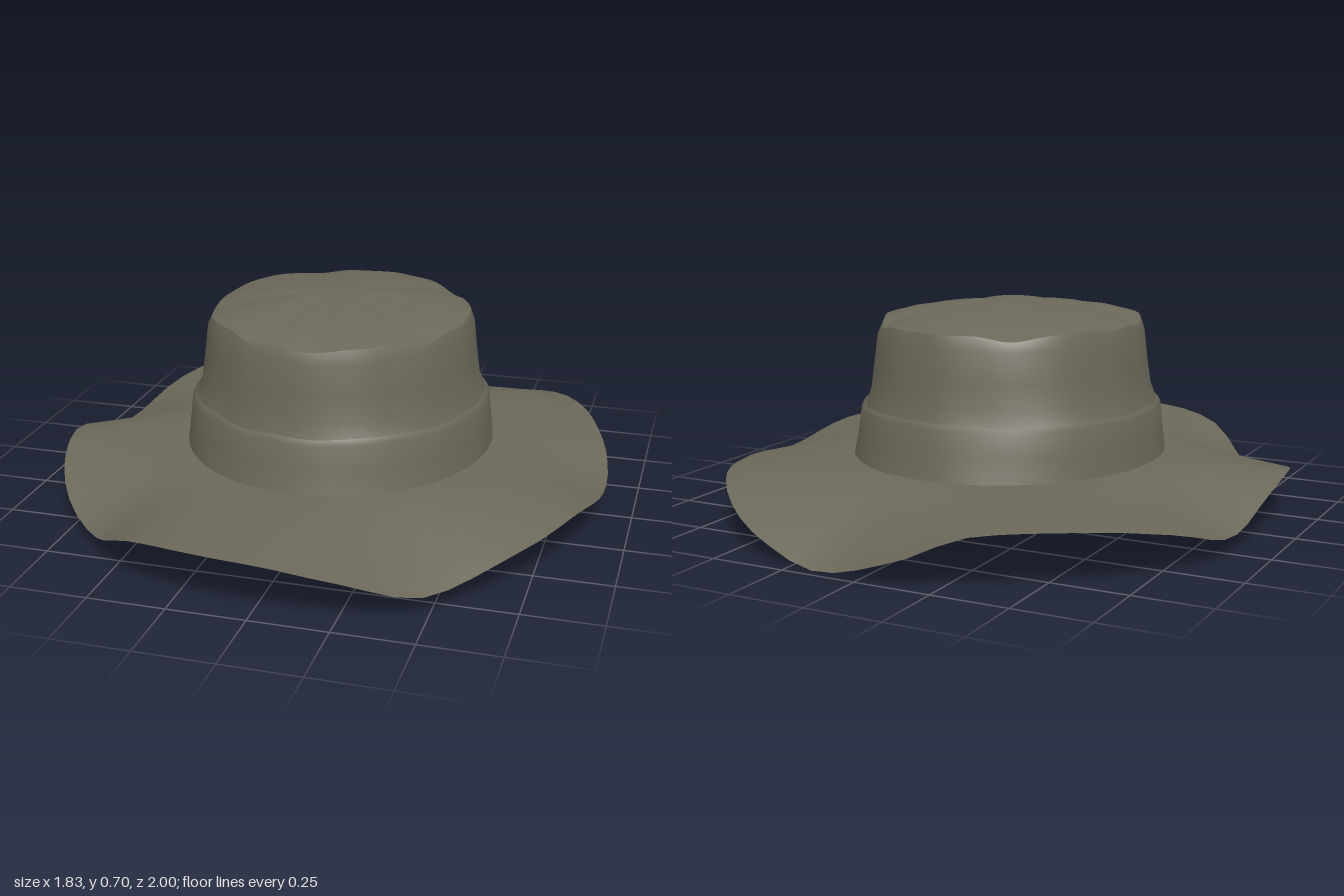
import * as THREE from 'three';

const SEG = 72;

// Small repeatable wobble that suggests slack cloth; closed over the full turn
const wobble = (a, k) =>
  0.5 * Math.sin(5 * a + k) + 0.3 * Math.sin(9 * a + 2.1 * k) + 0.2 * Math.sin(14 * a + 3.7 * k);

// Closed curve through [degrees, value] keys, angle measured from +x towards +z
function around(keys) {
  const n = keys.length;
  const at = (i) => {
    const turn = Math.floor(i / n);
    const k = keys[i - turn * n];
    return [k[0] + 360 * turn, k[1]];
  };
  return (a) => {
    const d = THREE.MathUtils.radToDeg(a);
    let i = n - 1;
    while (i >= 0 && keys[i][0] > d) i--;
    const [p, q, r, s] = [at(i - 1), at(i), at(i + 1), at(i + 2)];
    const w = r[0] - q[0];
    const t = (d - q[0]) / w;
    const m0 = ((r[1] - p[1]) / (r[0] - p[0])) * w;
    const m1 = ((s[1] - q[1]) / (s[0] - q[0])) * w;
    const t2 = t * t, t3 = t2 * t;
    return (2 * t3 - 3 * t2 + 1) * q[1] + (t3 - 2 * t2 + t) * m0
      + (3 * t2 - 2 * t3) * r[1] + (t3 - t2) * m1;
  };
}

// Surface over closed rings, ordered from the crown centre outwards
function loft(name, rings, point, material) {
  const pos = [], index = [];
  for (let i = 0; i < rings; i++) {
    for (let j = 0; j < SEG; j++) pos.push(...point(i, (j / SEG) * Math.PI * 2));
  }
  for (let i = 0; i < rings - 1; i++) {
    for (let j = 0; j < SEG; j++) {
      const k = (j + 1) % SEG;
      const a = i * SEG + j, b = i * SEG + k, c = a + SEG, d = b + SEG;
      index.push(a, b, c, b, d, c);
    }
  }
  const geo = new THREE.BufferGeometry();
  geo.setAttribute('position', new THREE.Float32BufferAttribute(pos, 3));
  geo.setIndex(index);
  geo.computeVertexNormals();
  const mesh = new THREE.Mesh(geo, material);
  mesh.name = name;
  return mesh;
}

// Height of the brim edge and its distance from the centre
const edgeHeight = around([
  [0, 0.105], [23, 0.16], [38, 0.13], [59, 0.06], [75, 0.135], [90, 0.18], [112, 0.16],
  [133, 0.04], [155, 0.13], [172, 0.165], [196, 0.06], [215, 0.13], [230, 0.17], [250, 0.165],
  [262, 0.08], [279, 0.0], [293, 0.06], [315, 0.15], [340, 0.14],
]);
const edgeRadius = around([
  [0, 0.91], [15, 0.925], [32, 0.94], [50, 0.94], [66, 0.985], [90, 1], [114, 0.985],
  [131, 0.925], [148, 0.94], [170, 0.93], [187, 0.905], [214, 0.97], [233, 1], [247, 1.01],
  [262, 1.01], [277, 0.98], [293, 1], [304, 0.995], [321, 0.96], [338, 0.92],
]);

// Elliptical crown ring with slight creasing
function crownPoint(rx, rz, y, a, ripple, k, lift = 0) {
  const f = 1 + ripple * wobble(a, k);
  return [rx * f * Math.cos(a), y + lift * wobble(a, k + 1), rz * f * Math.sin(a) - 0.012];
}

export function createModel() {
  const cloth = new THREE.MeshStandardMaterial({ color: 0x6b6859, side: THREE.DoubleSide });
  cloth.name = 'olive cloth';
  const hat = new THREE.Group();
  hat.name = 'sunHat';

  // Profiles: [x radius, z radius, height, ripple, lift]
  const profiles = {
    crownTop: [
      [0.001, 0.001, 0.698, 0, 0], [0.12, 0.13, 0.694, 0, 0.003], [0.24, 0.26, 0.68, 0.01, 0.006],
      [0.34, 0.37, 0.664, 0.015, 0.008], [0.425, 0.455, 0.638, 0.02, 0.014],
    ],
    crownWall: [
      [0.425, 0.455, 0.638, 0.02, 0.014], [0.44, 0.472, 0.6, 0.014, 0.006],
      [0.452, 0.485, 0.5, 0.01, 0], [0.463, 0.495, 0.42, 0.012, 0], [0.482, 0.512, 0.37, 0.012, 0.006],
    ],
    crownBand: [
      [0.482, 0.512, 0.37, 0.012, 0.006], [0.498, 0.527, 0.355, 0.01, 0.006],
      [0.506, 0.538, 0.28, 0.006, 0], [0.516, 0.56, 0.2, 0, 0],
    ],
  };
  for (const [name, rows] of Object.entries(profiles)) {
    hat.add(loft(name, rows.length, (i, a) => {
      const [rx, rz, y, ripple, lift] = rows[i];
      return crownPoint(rx, rz, y, a, ripple, 1.3, lift);
    }, cloth));
  }

  // Wavy brim, flat at the crown and sagging towards its edge
  const steps = 10;
  hat.add(loft('brim', steps + 1, (i, a) => {
    const t = i / steps;
    const [x, , z] = crownPoint(0.516, 0.56, 0.2, a, 0, 0);
    const r = edgeRadius(a);
    return [
      THREE.MathUtils.lerp(x, r * Math.cos(a), t),
      THREE.MathUtils.lerp(0.2, Math.max(0, edgeHeight(a)), Math.pow(t, 1.4)),
      THREE.MathUtils.lerp(z, r * Math.sin(a), t),
    ];
  }, cloth));
  return hat;
}
